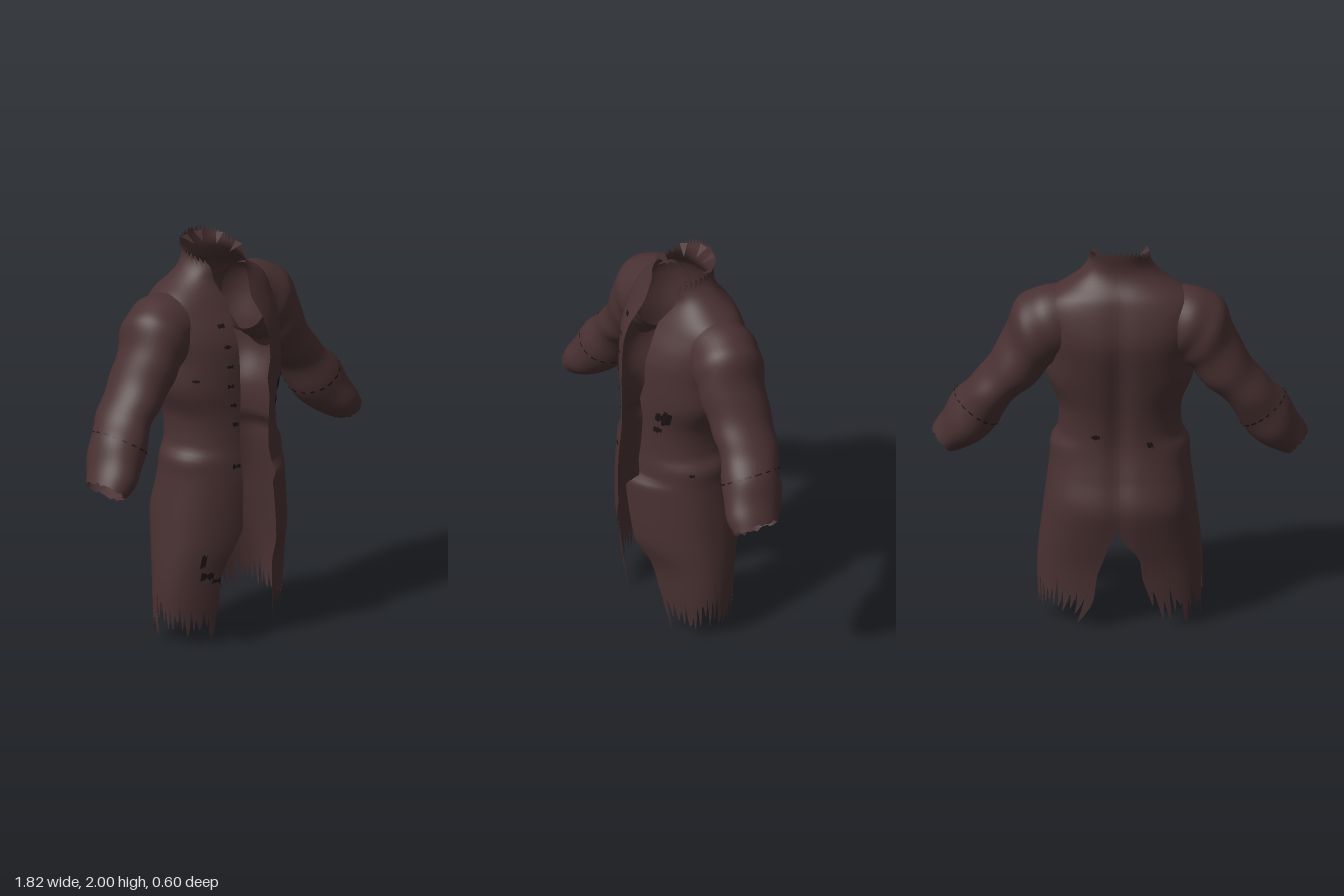
import * as THREE from 'three';
import { mergeVertices } from 'three/addons/utils/BufferGeometryUtils.js';

const cloth = new THREE.MeshStandardMaterial({ color: 0x493132, side: THREE.DoubleSide });
cloth.name = 'brown cloth';
const dark = new THREE.MeshStandardMaterial({ color: 0x1e1314, side: THREE.DoubleSide });
dark.name = 'dark tear';

let seed = 11;
const rnd = () => (seed = (seed * 16807) % 2147483647) / 2147483647;

// Table lookup: straight or smooth (cubic) interpolation of [y, value] pairs
function tab(t, y, smooth = true) {
  const n = t.length;
  if (y <= t[0][0]) return t[0][1];
  if (y >= t[n - 1][0]) return t[n - 1][1];
  let i = 0;
  while (y > t[i + 1][0]) i++;
  const h = t[i + 1][0] - t[i][0], k = (y - t[i][0]) / h;
  if (!smooth) return t[i][1] + (t[i + 1][1] - t[i][1]) * k;
  const slope = j => {
    const a = t[Math.max(j - 1, 0)], b = t[Math.min(j + 1, n - 1)];
    return (b[1] - a[1]) / (b[0] - a[0]);
  };
  const k2 = k * k, k3 = k2 * k;
  return (2 * k3 - 3 * k2 + 1) * t[i][1] + (k3 - 2 * k2 + k) * h * slope(i)
    + (3 * k2 - 2 * k3) * t[i + 1][1] + (k3 - k2) * h * slope(i + 1);
}

// Surface from a rule fn(column, row) -> Vector3
function grid(nu, nv, fn, flip, weld) {
  const pos = [], idx = [];
  for (let i = 0; i <= nu; i++) for (let j = 0; j <= nv; j++) pos.push(...fn(i, j).toArray());
  for (let i = 0; i < nu; i++) for (let j = 0; j < nv; j++) {
    const a = i * (nv + 1) + j, b = a + nv + 1;
    if (flip) idx.push(a, a + 1, b, b, a + 1, b + 1);
    else idx.push(a, b, a + 1, b, b + 1, a + 1);
  }
  let g = new THREE.BufferGeometry();
  g.setAttribute('position', new THREE.Float32BufferAttribute(pos, 3));
  g.setIndex(idx);
  if (weld) g = mergeVertices(g, 1e-5);
  g.computeVertexNormals();
  return g;
}

// Coat body by height: half width, side line depth, front depth, back depth
const WIDTH = [[0, .39], [.3, .4], [.6, .37], [.85, .34], [.94, .335], [1, .302], [1.15, .3], [1.3, .355],
  [1.45, .36], [1.6, .38], [1.7, .37], [1.75, .33], [1.8, .25], [1.84, .195], [1.88, .16], [1.92, .145], [1.98, .16]];
const SIDE = [[0, -.01], [1, 0], [1.4, -.03], [1.65, -.08], [1.8, -.07], [2, -.05]];
const FRONT = [[0, .17], [.2, .2], [.37, .225], [.5, .255], [.8, .265], [1, .25], [1.3, .245], [1.5, .235],
  [1.6, .2], [1.7, .14], [1.78, .095], [1.83, .085], [1.87, .11], [1.92, .14]];
const BACK = [[0, -.195], [.3, -.205], [.5, -.245], [.65, -.27], [.8, -.235], [.95, -.21], [1.1, -.22],
  [1.3, -.26], [1.5, -.3], [1.6, -.295], [1.75, -.25], [1.82, -.2], [1.88, -.18], [1.98, -.195]];
const FLAP = [[.35, 0], [.5, .035], [.84, .04], [.87, 0]];
// Front opening and back vent edges for the left (1) and right (-1) halves
const OPENING = {
  1: [[0, .2], [.25, .17], [.4, .14], [.5, .1], [.8, .05], [.86, .1], [.95, .08], [1.2, .1], [1.3, .08],
    [1.4, .11], [1.6, .1], [1.7, .075], [1.8, .12], [1.92, .12]],
  '-1': [[0, .2], [.35, .2], [.45, .17], [.58, .11], [.9, .11], [1.2, .108], [1.6, .11], [1.72, .085], [1.8, .11], [1.92, .13]],
};
const VENT = {
  1: [[0, .2], [.15, .125], [.28, .11], [.5, .035], [.54, 0]],
  '-1': [[0, .17], [.1, .15], [.28, .11], [.39, .1], [.5, 0]],
};

// Point on the body; angle 0 is the back centre, PI the front centre
function bodyPoint(s, y, ang, lift = 0) {
  const a = tab(WIDTH, y), c = tab(SIDE, y), sn = Math.sin(ang), cs = Math.cos(ang);
  let x, z;
  if (cs > 0) {
    x = a * Math.pow(sn, .8);
    z = c + (tab(BACK, y) - c) * Math.pow(cs, .8);
    if (y > .4 && y < 1.85) z += .025 * Math.exp(-((x / .06) ** 2)) * Math.sin((y - .4) / 1.45 * Math.PI);
  } else {
    x = a * sn;
    const f = tab(FRONT, y) + (s > 0 ? tab(FLAP, y, false) * cs * cs : 0);
    z = c - (f - c) * cs;
  }
  const d = Math.hypot(x, z - c) || 1;
  return new THREE.Vector3(s * (x + lift * x / d), y, z + lift * (z - c) / d);
}

const collarTop = u => 1.985 - .085 * Math.pow(u, 1.3);

// Half of the coat, from back vent to front opening, with a torn hem
function halfBody(s) {
  const N = 110, LOW = 10, ROWS = 70, per = 5, hem = [];
  for (let i = 0, tip = 0, depth = 0; i <= N; i++) {
    const p = (i % per) / per;
    if (i % per === 0) { tip = .005 + .1 * rnd(); depth = .04 + .15 * rnd(); }
    hem.push(tip + depth * Math.abs(2 * p - 1) + .02 * rnd());
  }
  hem[N - 3] = .0;
  return grid(N, LOW + ROWS, (i, j) => {
    const u = i / N;
    const y = j < LOW ? hem[i] + (.56 - hem[i]) * j / LOW
      : .56 + (collarTop(u) + .012 * Math.sin(i * .9) * (j === LOW + ROWS) - .56) * (j - LOW) / ROWS;
    const a = tab(WIDTH, y);
    const start = Math.asin(Math.pow(tab(VENT[s], y, false) / a, 1.25));
    const end = Math.PI - Math.asin(tab(OPENING[s], y, false) / a);
    return bodyPoint(s, y, start + (end - start) * u);
  }, s > 0);
}

// Sleeve stations: upper edge x, y, lower edge x, y, centre z, half depth
const SLEEVE = [
  [.27, 1.77, .22, 1.45, -.08, .16], [.42, 1.745, .25, 1.42, -.08, .175], [.51, 1.67, .3, 1.39, -.075, .175],
  [.56, 1.53, .35, 1.34, -.07, .165], [.64, 1.38, .42, 1.25, -.07, .155], [.72, 1.27, .51, 1.18, -.06, .15],
  [.8, 1.18, .59, 1.03, -.03, .15], [.86, 1.06, .69, .92, 0, .148], [.91, .965, .8, .86, .03, .115]];
const upper = new THREE.CatmullRomCurve3(SLEEVE.map(r => new THREE.Vector3(r[0], r[1], r[4])));
const lower = new THREE.CatmullRomCurve3(SLEEVE.map(r => new THREE.Vector3(r[2], r[3], r[5])));

function sleevePoint(s, t, th, scale = 1) {
  const U = upper.getPoint(t), L = lower.getPoint(t);
  const k = scale * (1 + .02 * Math.sin(t * 34 + 2 * Math.sin(th)));
  const c = Math.cos(th) * k / 2;
  return new THREE.Vector3(s * ((U.x + L.x) / 2 + (U.x - L.x) * c), (U.y + L.y) / 2 + (U.y - L.y) * c,
    U.z + L.z * Math.sin(th) * k);
}

function sleeve(s) {
  const NU = 48, NV = 40, rag = Array.from({ length: NV }, () => .03 * rnd());
  return grid(NU, NV, (i, j) => {
    const t = i / NU - (i === NU ? rag[j % NV] * .6 : 0);
    return sleevePoint(s, t, (j % NV) / NV * Math.PI * 2);
  }, s > 0, true);
}

// Thin ragged tear lying on the body
function tear(s, y, ang, dAng, h) {
  const r = Array.from({ length: 9 }, () => .25 + .75 * rnd());
  return grid(8, 2, (i, j) => bodyPoint(s, y + (j / 2 - .5) * h * r[i], ang + (i / 8 - .5) * dAng, .004), s > 0);
}

export function createModel() {
  const model = new THREE.Group();
  const add = (parent, name, geo, mat) => {
    const m = new THREE.Mesh(geo, mat);
    m.name = name;
    parent.add(m);
  };

  for (const s of [1, -1]) {
    const side = s > 0 ? 'left' : 'right';
    add(model, side + 'CoatHalf', halfBody(s), cloth);
    add(model, side + 'Sleeve', sleeve(s), cloth);

    // Stitches around the cuff
    const cuff = new THREE.Group();
    cuff.name = side + 'CuffStitches';
    for (let k = 0; k < 18; k++) {
      const th = k / 18 * Math.PI * 2, w = .12 + .12 * rnd();
      add(cuff, 'stitch', grid(3, 1, (i, j) =>
        sleevePoint(s, .74 + j * .007, th + w * i / 3, 1.03), s < 0), dark);
    }
    model.add(cuff);

    // Torn points folded in at the collar
    for (const u of [.03, .3, .55]) {
      const a = u * Math.PI, y = collarTop(u) - .015;
      const p = bodyPoint(s, y, a), q = bodyPoint(s, y, a + .3);
      const tip = p.clone().lerp(q, .4);
      tip.x *= .62; tip.z = -.04 + (tip.z + .04) * .65; tip.y -= .04;
      const g = new THREE.BufferGeometry().setFromPoints(s > 0 ? [p, tip, q] : [p, q, tip]);
      g.computeVertexNormals();
      add(model, 'collarPoint', g, cloth);
    }
  }

  // Worn patches: half, height, angle, angular width, height of patch
  const tears = [[1, 1.24, 2.44, .28, .1], [1, 1.16, 2.5, .16, .05], [-1, .36, 2.4, .2, .05], [-1, .44, 2.3, .08, .08],
    [-1, .33, 2.55, .12, .04], [-1, .91, 2.72, .12, .03], [1, 1.02, .3, .14, .03], [-1, .98, .4, .1, .05],
    [-1, 1.36, 2.15, .12, .02], [1, .93, 1.9, .1, .02]];
  for (let y = 1.12; y < 1.72; y += .1) tears.push([-1, y, 2.68, .1, .025]);
  const worn = new THREE.Group();
  worn.name = 'wornPatches';
  for (const t of tears) add(worn, 'tear', tear(...t), dark);
  model.add(worn);
  return model;
}
